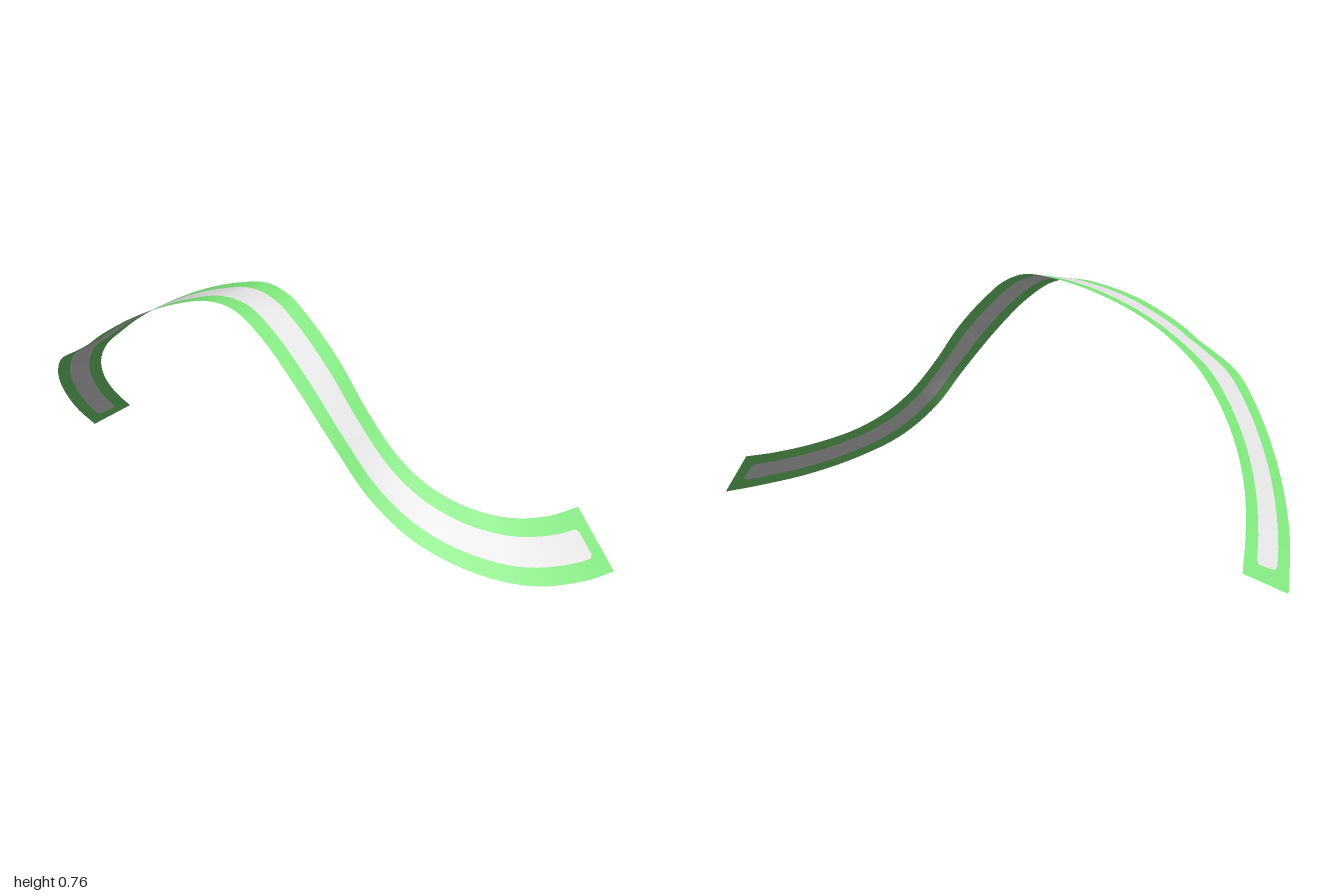
import * as THREE from 'three';

// Matching points along the two long edges, from the front end to the back end
const outerPts = [
  [0.43, 0, 1], [0.31, 0.002, 0.985], [0.14, 0.022, 0.93], [0, 0.075, 0.83],
  [-0.1, 0.155, 0.71], [-0.165, 0.265, 0.6], [-0.205, 0.39, 0.51], [-0.225, 0.54, 0.37],
  [-0.235, 0.66, 0.23], [-0.25, 0.72, 0.13], [-0.28, 0.733, 0.05], [-0.325, 0.713, -0.04],
  [-0.38, 0.67, -0.14], [-0.43, 0.6, -0.25], [-0.445, 0.555, -0.31], [-0.45, 0.525, -0.365],
  [-0.43, 0.475, -0.47], [-0.38, 0.405, -0.57], [-0.295, 0.315, -0.69], [-0.19, 0.215, -0.81],
  [-0.075, 0.11, -0.915], [0.05, 0.005, -1],
];
const innerPts = [
  [0.447, 0.148, 0.85], [0.33, 0.147, 0.835], [0.2, 0.165, 0.79], [0.1, 0.205, 0.715],
  [0.03, 0.265, 0.635], [-0.01, 0.34, 0.555], [-0.03, 0.45, 0.455], [-0.04, 0.58, 0.345],
  [-0.05, 0.68, 0.235], [-0.06, 0.735, 0.16], [-0.08, 0.76, 0.09], [-0.115, 0.75, 0],
  [-0.16, 0.72, -0.1], [-0.22, 0.665, -0.21], [-0.262, 0.605, -0.3], [-0.28, 0.55, -0.37],
  [-0.265, 0.5, -0.45], [-0.215, 0.425, -0.56], [-0.135, 0.335, -0.68], [-0.04, 0.24, -0.785],
  [0.06, 0.15, -0.865], [0.16, 0.07, -0.93],
];
const curve = (pts) => new THREE.CatmullRomCurve3(pts.map((p) => new THREE.Vector3(...p)));

// Rows across the ribbon: t along the length, h = half-width of the centre stripe
const START = 0.018, END = 0.984, HALF = 0.225, BEVEL = 0.004;
function makeRows() {
  const rows = [{ t: START, h: 0.17 }, { t: START + BEVEL, h: HALF }];
  const n = 110, a = START + BEVEL, b = END - BEVEL;
  for (let i = 1; i < n; i++) rows.push({ t: a + ((b - a) * i) / n, h: HALF });
  rows.push({ t: b, h: HALF }, { t: END, h: 0.17 });
  return rows;
}

export function createModel() {
  const green = new THREE.MeshStandardMaterial({ color: 0x79de76, side: THREE.DoubleSide });
  green.name = 'light green';
  const white = new THREE.MeshStandardMaterial({ color: 0xdcdcdc, side: THREE.DoubleSide });
  white.name = 'pale grey';

  const outer = curve(outerPts), inner = curve(innerPts);
  const stripeRows = makeRows();
  // The borders close over the stripe at both ends
  const borderRows = [
    { t: 0, h: 0 }, { t: START, h: 0 }, ...stripeRows, { t: END, h: 0 }, { t: 1, h: 0 },
  ];

  // Lengthwise band between two width fractions, each a function of h
  function band(name, rows, from, to, material) {
    const pos = [], index = [], across = 4;
    rows.forEach(({ t, h }, r) => {
      const a = outer.getPoint(t), b = inner.getPoint(t);
      for (let c = 0; c <= across; c++) {
        const v = from(h) + ((to(h) - from(h)) * c) / across;
        pos.push(...a.clone().lerp(b, v).toArray());
        if (r && c) {
          const k = r * (across + 1) + c, p = k - across - 1;
          index.push(p - 1, p, k, p - 1, k, k - 1);
        }
      }
    });
    const g = new THREE.BufferGeometry();
    g.setAttribute('position', new THREE.Float32BufferAttribute(pos, 3));
    g.setIndex(index);
    g.computeVertexNormals();
    const mesh = new THREE.Mesh(g, material);
    mesh.name = name;
    return mesh;
  }

  const MID = 0.495;
  const low = (h) => MID - h, high = (h) => MID + h;
  const ribbon = new THREE.Group();
  ribbon.name = 'ribbon';
  ribbon.add(
    band('outerBorder', borderRows, () => 0, low, green),
    band('centreStripe', stripeRows, low, high, white),
    band('innerBorder', borderRows, high, () => 1, green),
  );
  return ribbon;
}
